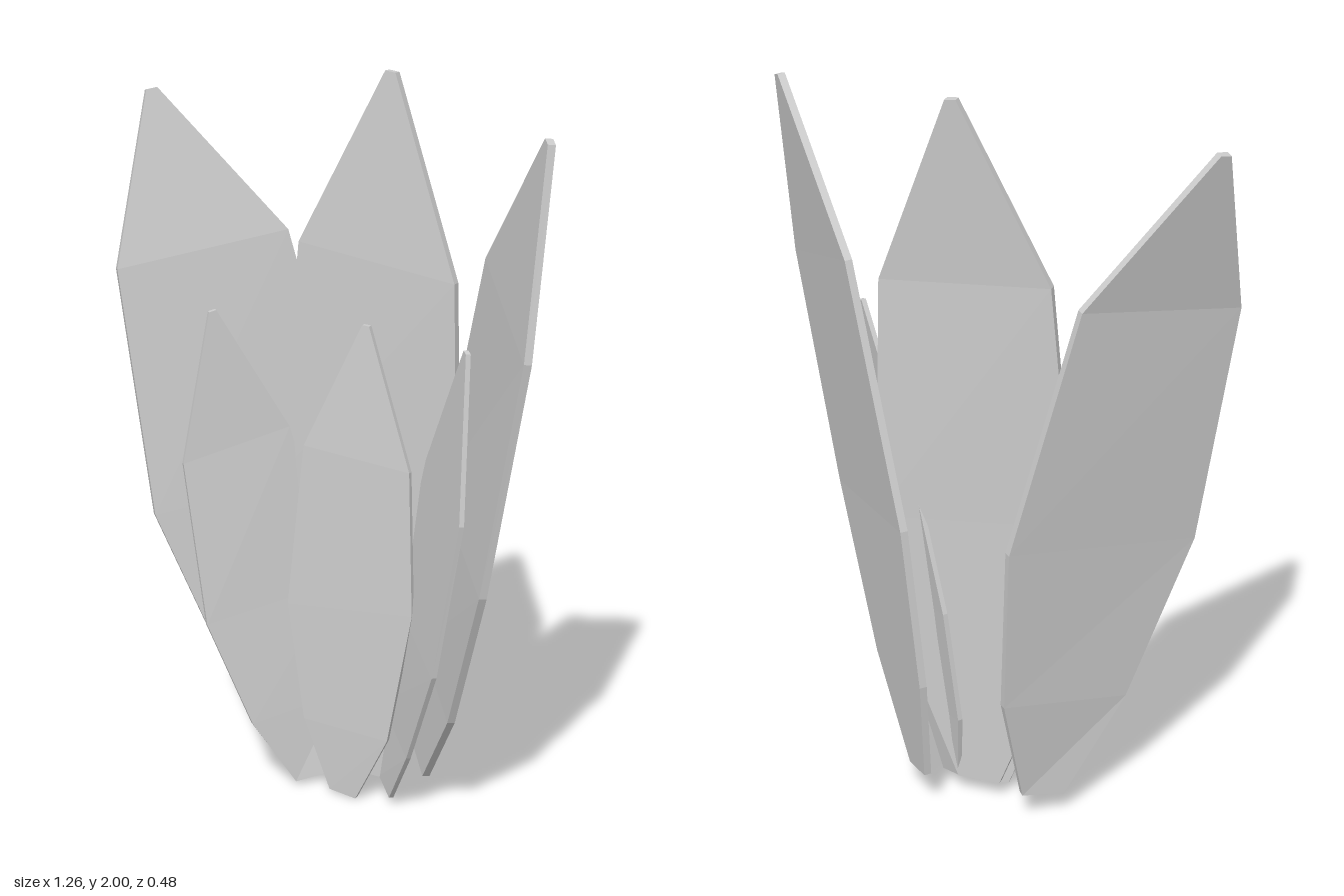
import * as THREE from 'three';

const material = new THREE.MeshStandardMaterial({ color: 0xcccccc, flatShading: true });

// A petal is a thin slab lofted through straight rows, from its base to a narrow tip.
// Each row is [edge on the -x side, edge on the +x side].
function petal(name, rows, tip, tipWidth, thickness) {
  const pairs = rows.map(([a, b]) => [new THREE.Vector3(...a), new THREE.Vector3(...b)]);
  const [sa, sb] = pairs[pairs.length - 1];
  const half = sb.clone().sub(sa).setLength(tipWidth / 2);
  const t = new THREE.Vector3(...tip);
  pairs.push([t.clone().sub(half), t.clone().add(half)]);

  const centre = (i) => pairs[i][0].clone().add(pairs[i][1]).multiplyScalar(0.5);
  const rings = pairs.map(([a, b], i) => {
    const along = centre(Math.min(i + 1, pairs.length - 1)).sub(centre(Math.max(i - 1, 0)));
    const n = b.clone().sub(a).cross(along).setLength(thickness / 2);
    // front left, front right, back right, back left
    return [a.clone().add(n), b.clone().add(n), b.clone().sub(n), a.clone().sub(n)];
  });

  const positions = [];
  const quad = (p, q, r, s) => [p, q, r, p, r, s].forEach((v) => positions.push(v.x, v.y, v.z));
  for (let i = 0; i < rings.length - 1; i++) {
    for (let k = 0; k < 4; k++) {
      const m = (k + 1) % 4;
      quad(rings[i][k], rings[i][m], rings[i + 1][m], rings[i + 1][k]);
    }
  }
  const first = rings[0];
  const last = rings[rings.length - 1];
  quad(first[3], first[2], first[1], first[0]);
  quad(last[0], last[1], last[2], last[3]);

  const geometry = new THREE.BufferGeometry();
  geometry.setAttribute('position', new THREE.Float32BufferAttribute(positions, 3));
  geometry.computeVertexNormals();
  const mesh = new THREE.Mesh(geometry, material);
  mesh.name = name;
  return mesh;
}

export function createModel() {
  const group = new THREE.Group();
  group.name = 'petalCluster';

  // Tall back petals
  const tall = (name, rows, tip) => group.add(petal(name, rows, tip, 0.03, 0.02));
  tall('tallCentrePetal', [
    [[-0.07, 0.05, -0.04], [0.05, 0.05, -0.04]],
    [[-0.19, 0.36, -0.04], [0.17, 0.34, -0.04]],
    [[-0.27, 0.87, -0.04], [0.28, 0.81, -0.045]],
    [[-0.21, 1.53, -0.055], [0.26, 1.49, -0.05]],
  ], [0.045, 2.0, -0.09]);
  tall('tallLeftPetal', [
    [[0.1, 0.1, -0.15], [0.18, 0.075, -0.06]],
    [[0.09, 0.4, -0.2], [0.33, 0.33, 0.07]],
    [[0.135, 0.86, -0.21], [0.49, 0.77, 0.2]],
    [[0.32, 1.55, -0.11], [0.62, 1.42, 0.235]],
  ], [0.61, 1.94, 0.13]);
  tall('tallRightPetal', [
    [[-0.25, 0.06, -0.04], [-0.16, 0.08, -0.12]],
    [[-0.38, 0.33, 0.08], [-0.135, 0.39, -0.2]],
    [[-0.525, 0.78, 0.19], [-0.16, 0.86, -0.235]],
    [[-0.625, 1.45, 0.19], [-0.32, 1.52, -0.16]],
  ], [-0.615, 1.9, 0.03]);

  // Short front petals
  const short = (name, rows, tip) => group.add(petal(name, rows, tip, 0.02, 0.013));
  short('shortCentrePetal', [
    [[-0.07, 0.01, 0.03], [0.01, 0.0, 0.025]],
    [[-0.145, 0.21, 0.04], [0.11, 0.2, 0.025]],
    [[-0.195, 0.54, 0.04], [0.18, 0.58, 0.017]],
    [[-0.15, 1.0, 0.025], [0.165, 0.98, 0.01]],
  ], [0.02, 1.35, -0.01]);
  short('shortLeftPetal', [
    [[0.05, 0.05, -0.04], [0.115, 0.025, 0.015]],
    [[0.03, 0.25, -0.085], [0.21, 0.2, 0.085]],
    [[0.07, 0.57, -0.09], [0.335, 0.5, 0.17]],
    [[0.195, 1.01, -0.03], [0.415, 0.94, 0.18]],
  ], [0.37, 1.365, 0.085]);
  short('shortRightPetal', [
    [[-0.175, 0.01, 0.045], [-0.12, 0.025, -0.01]],
    [[-0.26, 0.2, 0.13], [-0.11, 0.25, -0.07]],
    [[-0.355, 0.5, 0.2], [-0.13, 0.57, -0.095]],
    [[-0.42, 0.95, 0.2], [-0.235, 1.02, -0.03]],
  ], [-0.38, 1.355, 0.11]);

  return group;
}
